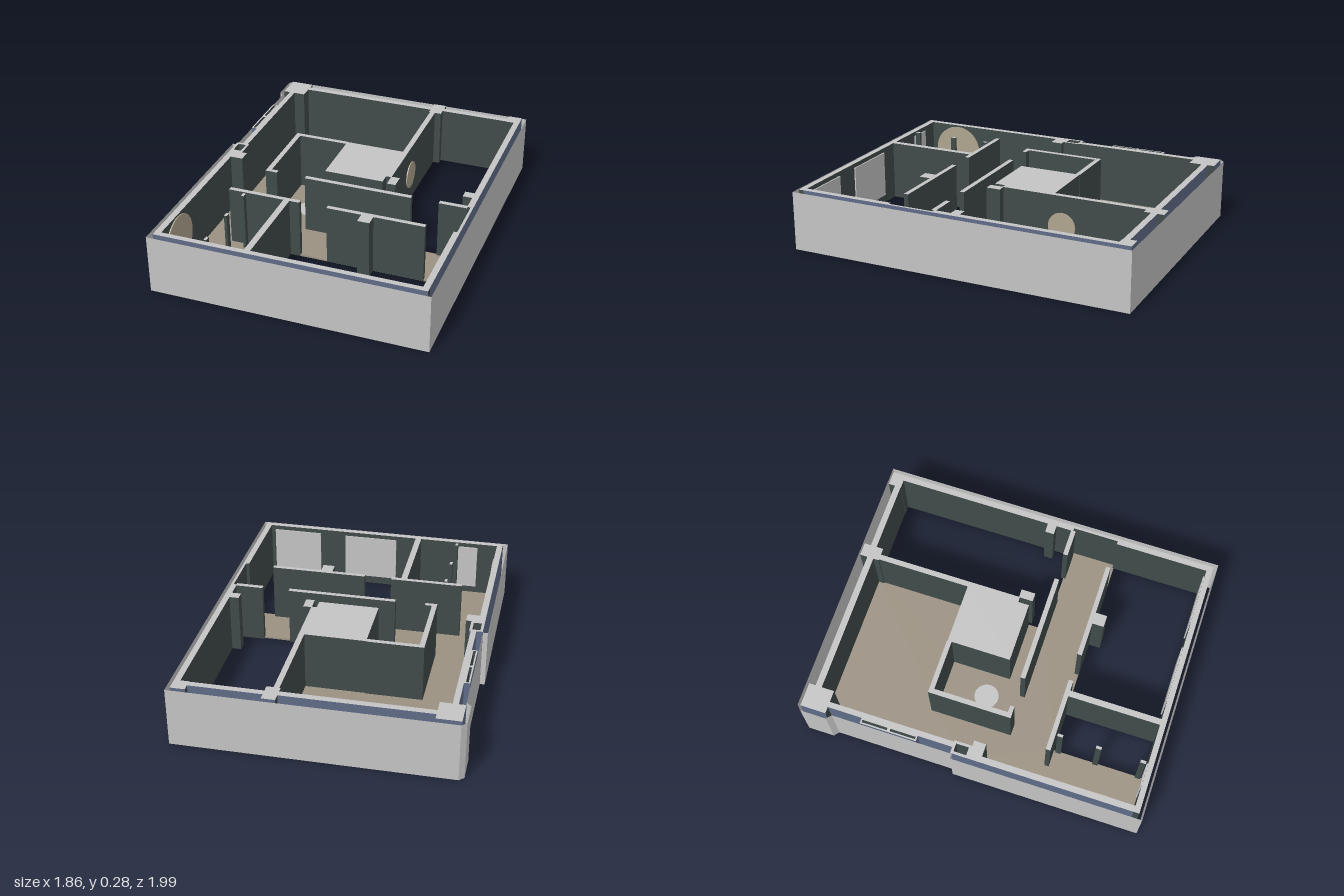
import * as THREE from 'three';

const mat = (name, color, side = THREE.FrontSide) => {
  const m = new THREE.MeshStandardMaterial({ color, side });
  m.name = name;
  return m;
};

export function createModel() {
  const cap = mat('wall cap grey', 0xc4c4c4);
  const shellMat = mat('outer shell grey', 0xc4c4c4, THREE.DoubleSide);
  const inner = mat('inner wall dark green', 0x404b49);
  const outer = mat('outer wall blue', 0x5f6c88);
  const floorMat = mat('floor brown', 0x9b9182);
  const beige = mat('round panel beige', 0xb0a48f);
  const H = 0.278;

  const model = new THREE.Group();
  const house = new THREE.Group();
  house.name = 'floorPlan';
  house.rotation.y = Math.PI / 6; // the plan stands at 30 degrees
  model.add(house);

  const add = (name, geometry, material) => {
    const mesh = new THREE.Mesh(geometry, material);
    mesh.name = name;
    house.add(mesh);
    return mesh;
  };

  // wall block on plan x0..x1, z0..z1; 'out' lists its outward sides
  const wall = (name, x0, x1, z0, z1, out = '') => {
    const side = (s) => (out.includes(s) ? outer : inner);
    const g = new THREE.BoxGeometry(x1 - x0, H - 0.002, z1 - z0);
    g.translate((x0 + x1) / 2, H / 2 + 0.001, (z0 + z1) / 2);
    add(name, g, [side('R'), side('L'), cap, outer, side('F'), side('B')]);
  };

  // hollow rectangle of thin walls
  const ring = (name, x0, x1, z0, z1, t) => {
    wall(name, x0, x1, z0, z0 + t, 'LB');
    wall(name, x0, x1, z1 - t, z1, 'LF');
    wall(name, x0, x0 + t, z0 + t, z1 - t, 'L');
    wall(name, x1 - t, x1, z0 + t, z1 - t);
  };

  // outer shell: a thin skin just outside the walls, open at the top
  const outline = [
    [-0.627, 0.79], [0.615, 0.79], [0.615, -0.79], [-0.605, -0.79],
    [-0.627, -0.77], [-0.627, -0.65], [-0.605, -0.63], [-0.605, -0.075], [-0.627, -0.075],
  ];
  outline.forEach(([x0, z0], i) => {
    const [x1, z1] = outline[(i + 1) % outline.length];
    const g = new THREE.PlaneGeometry(Math.hypot(x1 - x0, z1 - z0), 0.27);
    g.rotateY(Math.atan2(z0 - z1, x1 - x0));
    g.translate((x0 + x1) / 2, 0.135, (z0 + z1) / 2);
    add('outerShell', g, shellMat);
  });

  // floor of the rooms and the hall; the courtyards stay open
  const floorShape = new THREE.Shape([
    [-0.578, 0.748], [-0.38, 0.748], [-0.38, 0.325], [0.585, 0.325], [0.585, 0.112],
    [0.165, 0.112], [0.165, 0.03], [-0.12, 0.03], [-0.12, -0.26], [0.16, -0.26],
    [0.16, -0.718], [-0.552, -0.718], [-0.552, -0.06], [-0.578, -0.06],
  ].map(([x, z]) => new THREE.Vector2(x, -z)));
  const floorGeo = new THREE.ExtrudeGeometry(floorShape, { depth: 0.008, bevelEnabled: false });
  add('floor', floorGeo.rotateX(-Math.PI / 2), floorMat);
  const disc = new THREE.CylinderGeometry(0.056, 0.056, 0.012, 40);
  add('floorDisc', disc.translate(-0.233, 0.005, -0.046), cap);

  // perimeter walls
  wall('frontWall', -0.605, 0.595, 0.745, 0.77, 'F');
  wall('leftWall', -0.605, -0.577, 0.055, 0.745, 'L');
  wall('recessedWall', -0.577, -0.552, -0.658, -0.08, 'L');
  wall('backWall', -0.5, 0.15, -0.745, -0.716, 'B');
  wall('courtyardBackWall', 0.21, 0.53, -0.75, -0.722, 'B');
  wall('rightWall', 0.568, 0.595, -0.72, 0.11, 'R');
  wall('hallEndWall', 0.583, 0.595, 0.11, 0.32, 'R');
  wall('rightWall', 0.568, 0.595, 0.32, 0.745, 'R');

  // pillars and pilasters
  wall('cornerPillar', -0.607, -0.5, -0.775, -0.658, 'LB');
  wall('cornerPillar', 0.53, 0.595, -0.78, -0.72, 'RB');
  wall('backPillar', 0.15, 0.21, -0.78, -0.69, 'B');
  wall('sidePillar', -0.605, -0.52, 0, 0.055, 'L');
  wall('pilaster', 0.178, 0.218, -0.025, 0.04);
  wall('pilaster', 0.525, 0.568, -0.012, 0.03);
  wall('pilaster', 0.16, 0.215, 0.325, 0.38);
  ring('sideShaft', -0.605, -0.545, -0.082, 0, 0.012);
  ring('windowBay', -0.602, -0.577, -0.5, -0.37, 0.007);
  ring('windowBay', -0.602, -0.577, -0.37, -0.24, 0.007);

  // inner walls
  wall('roomWall', 0.155, 0.18, -0.716, -0.02);
  wall('solidCore', -0.12, 0.155, -0.262, 0.03);
  wall('innerRoomBackWall', -0.375, -0.12, -0.265, -0.243);
  wall('innerRoomSideWall', -0.375, -0.352, -0.243, 0.118);
  wall('innerRoomStub', -0.352, -0.32, 0.098, 0.118);
  wall('hallBackWall', -0.183, 0.317, 0.1, 0.122);
  wall('hallBackWall', 0.443, 0.57, 0.1, 0.122);
  wall('hallFrontWall', -0.46, -0.126, 0.306, 0.327);
  wall('hallFrontWall', 0, 0.445, 0.306, 0.327);
  wall('courtyardWall', -0.2, -0.172, 0.327, 0.745);
  for (const z of [0.335, 0.51, 0.71]) wall('glazingPost', -0.388, -0.375, z, z + 0.025);

  // pale panels on the inside of the front wall
  for (const [x, w] of [[0.43, 0.235], [0.055, 0.26], [-0.43, 0.105]]) {
    const g = new THREE.BoxGeometry(w, 0.215, 0.006);
    add('wallPanel', g.translate(x, 0.15, 0.742), cap);
  }

  // round panels on walls facing the courtyards
  for (const [x, y, z, r] of [[0.182, 0.137, -0.306, 0.064], [-0.575, 0.15, 0.6, 0.12]]) {
    const g = new THREE.CylinderGeometry(r, r, 0.006, 40).rotateZ(Math.PI / 2);
    add('roundPanel', g.translate(x, y, z), beige);
  }
  return model;
}
